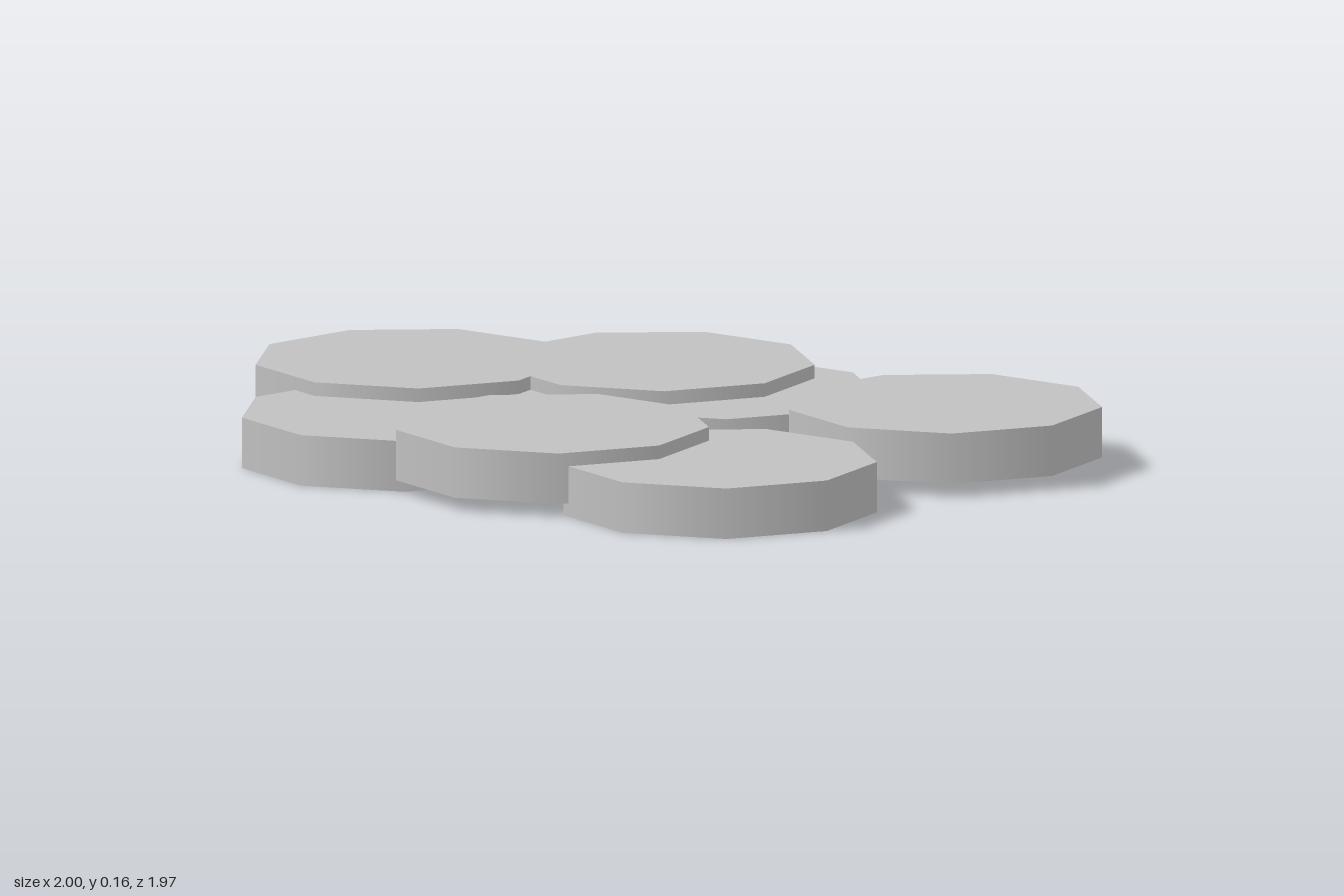
import * as THREE from 'three';

const RADIUS = 0.381;
const HEIGHT = 0.123;
const LOWER_BASE = 0;
const UPPER_BASE = 0.033;

// Disc centres as [x, z] for each layer
const LOWER = [[0.002, 0.605], [-0.62, -0.14], [0.192, -0.24], [-0.145, -0.49]];
const UPPER = [[-0.48, -0.612], [0.087, -0.449], [0.642, 0.218], [-0.331, 0.255]];

export function createModel() {
  const group = new THREE.Group();
  group.name = 'discPile';
  const grey = new THREE.MeshStandardMaterial({ color: 0xc0c0c0 });
  grey.name = 'light grey';

  // Nine-sided disc with one corner pointing to -x
  const disc = new THREE.CylinderGeometry(RADIUS, RADIUS, HEIGHT, 9, 1, false, -Math.PI / 2);
  disc.translate(0, HEIGHT / 2, 0);

  const addLayer = (name, centres, base) => {
    const layer = new THREE.Group();
    layer.name = name + 'Layer';
    centres.forEach(([x, z], i) => {
      const mesh = new THREE.Mesh(disc, grey);
      mesh.name = `${name}Disc${i + 1}`;
      mesh.position.set(x, base, z);
      layer.add(mesh);
    });
    group.add(layer);
  };

  addLayer('lower', LOWER, LOWER_BASE);
  addLayer('upper', UPPER, UPPER_BASE);
  return group;
}
